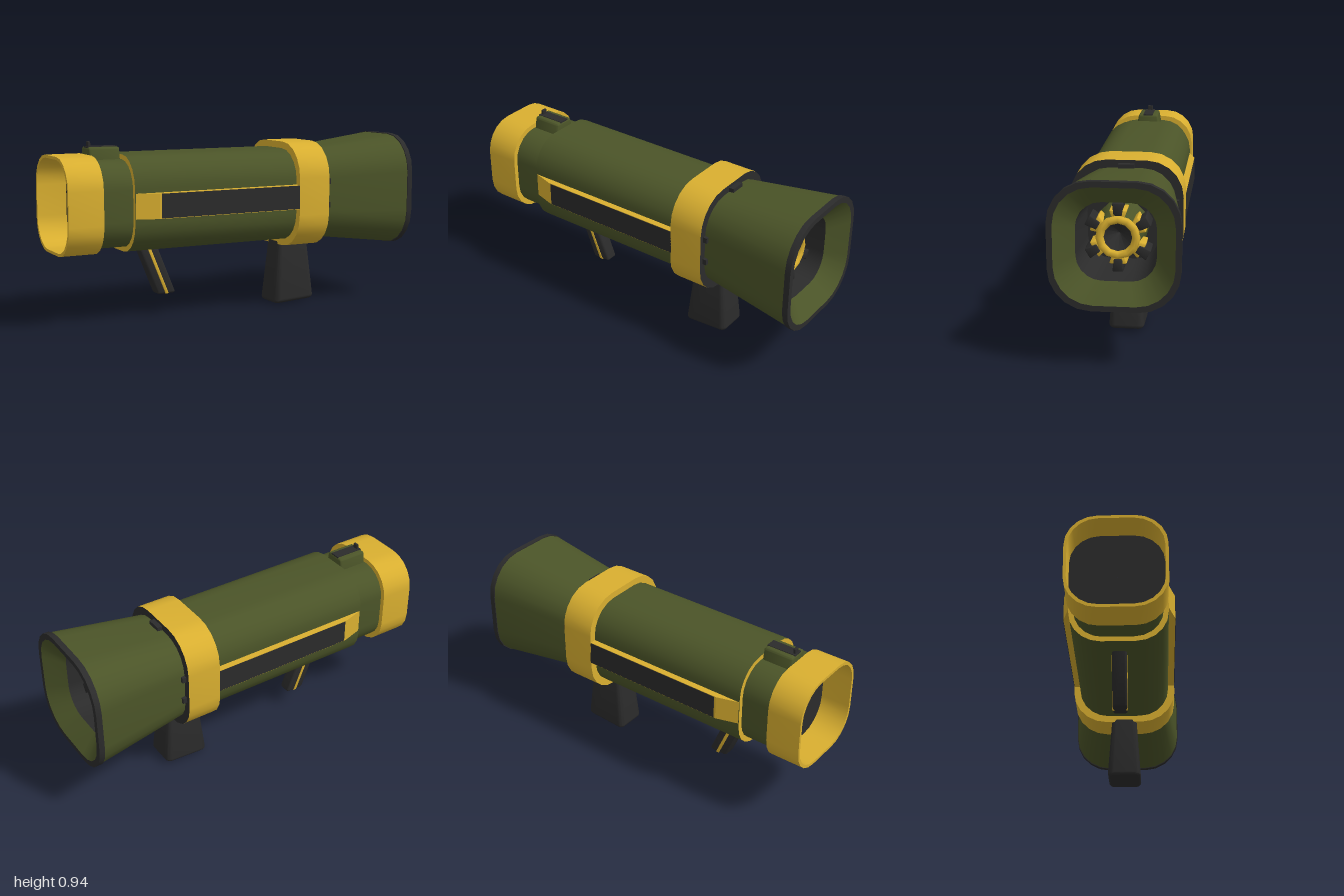
import * as THREE from 'three';
import { toCreasedNormals } from 'three/addons/utils/BufferGeometryUtils.js';
import { RoundedBoxGeometry } from 'three/addons/geometries/RoundedBoxGeometry.js';

const material = (color) => new THREE.MeshStandardMaterial({ color });
const green = material(0x4b5428);
const gold = material(0xd9af30);
const dark = material(0x2b2b2b);
const AXIS = 0.62; // height of the tube's centre line

// Rounded-square outline of half width h, as [y, z] pairs
function outline(h) {
  const pts = [], r = h * 0.65, steps = 5;
  for (let q = 0; q < 4; q++) {
    const mid = (q + 0.5) * Math.PI / 2;
    const cy = Math.sign(Math.cos(mid)) * (h - r), cz = Math.sign(Math.sin(mid)) * (h - r);
    for (let i = 0; i <= steps; i++) {
      const a = (q + i / steps) * Math.PI / 2;
      pts.push([cy + r * Math.cos(a), cz + r * Math.sin(a)]);
    }
  }
  return pts;
}

// Skin a profile of [x, half width] along the x axis, with a hard edge at each profile point
function loft(profile) {
  const pos = [], index = [];
  for (let s = 0; s < profile.length - 1; s++) {
    const base = pos.length / 3, n = outline(1).length;
    for (const [x, h] of [profile[s], profile[s + 1]])
      for (const [y, z] of outline(h)) pos.push(x, y, z);
    for (let i = 0; i < n; i++) {
      const a = base + i, b = base + (i + 1) % n;
      index.push(a, b, b + n, a, b + n, a + n);
    }
  }
  const geo = new THREE.BufferGeometry();
  geo.setAttribute('position', new THREE.Float32BufferAttribute(pos, 3));
  geo.setIndex(index);
  geo.computeVertexNormals();
  return geo;
}

function add(parent, name, geo, mat, x = 0, y = 0, z = 0) {
  const mesh = new THREE.Mesh(geo, mat);
  mesh.name = name;
  mesh.position.set(x, y, z);
  parent.add(mesh);
  return mesh;
}
const box = (w, h, d) => new THREE.BoxGeometry(w, h, d);

// Rounded block whose vertices are moved by a rule
function shapedBlock(w, h, d, radius, rule) {
  const geo = new RoundedBoxGeometry(w, h, d, 3, radius);
  const p = geo.attributes.position, v = new THREE.Vector3();
  for (let i = 0; i < p.count; i++) {
    rule(v.fromBufferAttribute(p, i));
    p.setXYZ(i, v.x, v.y, v.z);
  }
  return toCreasedNormals(geo, 0.6);
}

export function createModel() {
  const model = new THREE.Group();
  model.name = 'launcher';
  const tube = new THREE.Group();
  tube.name = 'tube';
  tube.position.y = AXIS;
  model.add(tube);

  // Hollow rear collar, neck and main body
  add(tube, 'rearCollar', loft([[-0.83, 0.235], [-1, 0.235], [-1, 0.25], [-0.815, 0.25], [-0.815, 0.2]]), gold);
  add(tube, 'rearPlug', loft([[-0.84, 0.001], [-0.84, 0.236]]), dark);
  add(tube, 'neck', loft([[-0.83, 0.225], [-0.64, 0.225]]), green);
  add(tube, 'bodyEndRing', loft([[-0.65, 0.2], [-0.65, 0.25]]), gold);
  add(tube, 'body', loft([[-0.65, 0.25], [0.3, 0.25]]), green);

  // Broad band with a dark front face and small latches
  add(tube, 'band', loft([[0.285, 0.23], [0.285, 0.286], [0.47, 0.286]]), gold);
  add(tube, 'bandFace', loft([[0.47, 0.286], [0.47, 0.23]]), dark);
  add(tube, 'topLatch', box(0.035, 0.03, 0.08), dark, 0.48, 0.255, 0);
  for (const side of [-1, 1]) for (const y of [-0.055, 0.075])
    add(tube, 'sideLatch', box(0.035, 0.03, 0.03), dark, 0.475, y, side * 0.25);

  // Flared bell, its rim, inner funnel and bore
  add(tube, 'bell', loft([[0.46, 0.245], [0.97, 0.309]]), green);
  add(tube, 'rim', loft([[0.97, 0.309], [0.97, 0.313], [1, 0.313], [1, 0.285]]), dark);
  add(tube, 'funnel', loft([[1, 0.285], [0.91, 0.192]]), green);
  add(tube, 'bore', loft([[0.91, 0.192], [0.62, 0.175], [0.62, 0.001]]), dark);

  // Projectile in the bore: shell, ring, recessed cone and six fins
  const shot = new THREE.Group();
  shot.name = 'projectile';
  tube.add(shot);
  add(shot, 'shell', new THREE.CylinderGeometry(0.105, 0.13, 0.2, 12, 1, true), green, 0.73).rotation.z = -Math.PI / 2;
  add(shot, 'nozzleRing', new THREE.TorusGeometry(0.088, 0.02, 8, 12), gold, 0.835).rotation.y = Math.PI / 2;
  const cone = [[0.001, -0.08], [0.078, 0]].map(([r, y]) => new THREE.Vector2(r, y));
  const coneMat = dark.clone();
  coneMat.side = THREE.DoubleSide;
  add(shot, 'nozzleCone', new THREE.LatheGeometry(cone, 12), coneMat, 0.835).rotation.z = -Math.PI / 2;
  for (let i = 0; i < 6; i++) {
    const arm = new THREE.Group();
    arm.name = 'fin';
    arm.rotation.x = i * Math.PI / 3;
    shot.add(arm);
    const flare = shapedBlock(0.11, 0.05, 0.07, 0.008, (v) => { v.z *= 0.75 + (v.y + 0.025) * 10; });
    add(arm, 'finRoot', flare, gold, 0.78, 0.108, 0);
    const tip = shapedBlock(0.12, 0.06, 0.046, 0.004, (v) => { v.z *= 1 + v.y * 5; });
    add(arm, 'finTip', tip, dark, 0.785, 0.138, 0);
  }

  // Side rails with dark inlays, the same on both sides
  const railShape = new THREE.Shape([[-0.65, 0.2], [0.29, 0.2], [0.29, 0.284], [-0.53, 0.284], [-0.65, 0.249]]
    .map(([x, y]) => new THREE.Vector2(x, y)));
  const railGeo = new THREE.ExtrudeGeometry(railShape, { depth: 0.13, bevelEnabled: false });
  railGeo.translate(0, 0, -0.065).rotateX(Math.PI / 2);
  for (const turn of [0, Math.PI]) {
    const rail = new THREE.Group();
    rail.name = 'sideRail';
    rail.rotation.x = turn;
    tube.add(rail);
    add(rail, 'railFrame', railGeo, gold);
    add(rail, 'railInlay', box(0.81, 0.125, 0.02), dark, -0.115, 0, 0.276);
  }

  // Sight block on the neck
  const block = shapedBlock(0.165, 0.1, 0.12, 0.012, (v) => { v.z *= 1.05 - v.y * 3; });
  add(tube, 'sightBlock', block, green, -0.733, 0.238, 0);
  add(tube, 'sightStrip', box(0.16, 0.02, 0.055), dark, -0.733, 0.281, 0);
  add(tube, 'sightPost', new RoundedBoxGeometry(0.015, 0.035, 0.03, 2, 0.005), dark, -0.8, 0.299, 0);

  // Main grip, widening downwards with a slanted foot
  const grip = shapedBlock(0.2, 0.38, 0.14, 0.025, (v) => {
    const t = 0.5 - v.y / 0.38;
    v.y += t * v.x * 0.08;
    v.x *= 0.88 + t * 0.4;
    v.z *= 0.95 + t * 0.37;
  });
  add(model, 'mainGrip', grip, dark, 0.377, 0.197, 0);

  // Slanted second grip with a gold core
  const lean = (v) => { v.x -= v.y * 0.4; v.y += v.x * 0.03; };
  add(model, 'rearGrip', shapedBlock(0.105, 0.3, 0.075, 0.015, lean), dark, -0.443, 0.262, 0);
  add(model, 'rearGripCore', shapedBlock(0.018, 0.296, 0.08, 0.002, lean), gold, -0.443, 0.262, 0);

  return model;
}
